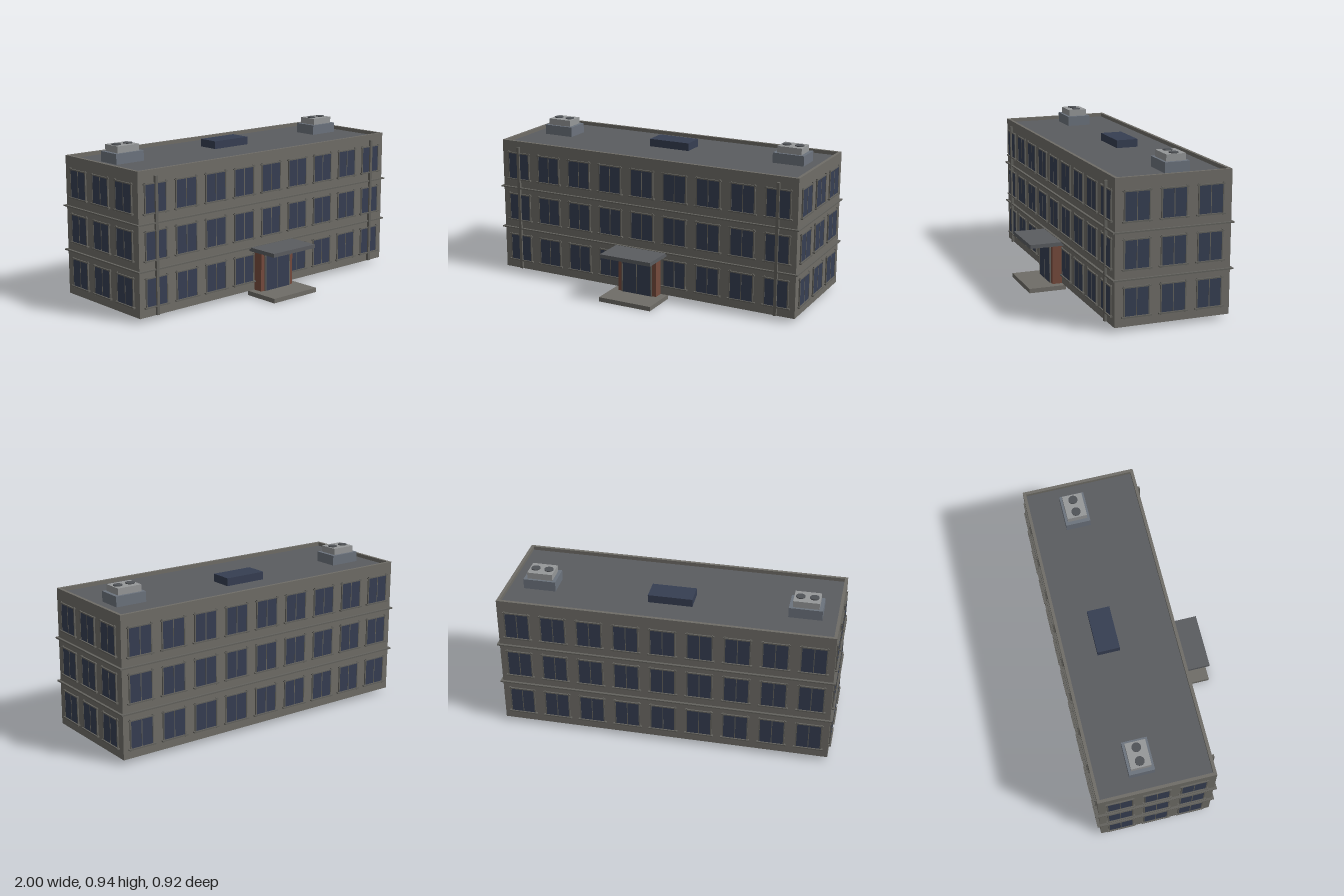
import * as THREE from 'three';

const mat = (color) => new THREE.MeshStandardMaterial({ color });
const M = {
  wall: mat(0x6f6d67), trim: mat(0x63625d), roof: mat(0x5a5c60), glass: mat(0x363e52),
  brick: mat(0x754a3c), unit: mat(0x969899), unitBase: mat(0x6c737d), fan: mat(0x505357),
};

// Box given by its min and max corners
function box(parent, name, material, [x0, y0, z0], [x1, y1, z1]) {
  const mesh = new THREE.Mesh(new THREE.BoxGeometry(x1 - x0, y1 - y0, z1 - z0), material);
  mesh.position.set((x0 + x1) / 2, (y0 + y1) / 2, (z0 + z1) / 2);
  mesh.name = name;
  parent.add(mesh);
  return mesh;
}

// Rectangular ring in plan, standing from y0 to y1
function ring(parent, name, material, hw, hd, t, y0, y1) {
  const rect = (p, w, d) => p.moveTo(-w, -d).lineTo(w, -d).lineTo(w, d).lineTo(-w, d).closePath();
  const shape = rect(new THREE.Shape(), hw, hd);
  shape.holes.push(rect(new THREE.Path(), hw - t, hd - t));
  const geo = new THREE.ExtrudeGeometry(shape, { depth: y1 - y0, bevelEnabled: false });
  geo.rotateX(-Math.PI / 2);
  const mesh = new THREE.Mesh(geo, material);
  mesh.position.set(0, y0, CZ);
  mesh.name = name;
  parent.add(mesh);
}

const HW = 0.985, HD = 0.3425, CZ = -0.1025, BASE = 0.027, TOP = 0.855;
const FLOORS = [0.165, 0.431, 0.696];

// Two-pane window with overlapping frame bars; the wall is at local z = 0
function makeWindow() {
  const g = new THREE.Group();
  g.name = 'window';
  for (const s of [-1, 1]) {
    box(g, 'pane', M.glass, [s * 0.036 - 0.0335, -0.081, -0.004], [s * 0.036 + 0.0335, 0.081, 0.006]);
    box(g, 'frameSide', M.trim, [s * 0.073 - 0.0035, -0.092, -0.004], [s * 0.073 + 0.0035, 0.092, 0.008]);
  }
  box(g, 'mullion', M.trim, [-0.0025, -0.081, -0.004], [0.0025, 0.081, 0.007]);
  box(g, 'lintel', M.trim, [-0.083, 0.08, -0.004], [0.083, 0.087, 0.009]);
  box(g, 'sill', M.trim, [-0.087, -0.087, -0.004], [0.087, -0.079, 0.014]);
  return g;
}

// One side of the building, with a grid of windows
function makeFacade(name, columns, spacing, distance, angle, skipDoor) {
  const g = new THREE.Group();
  g.name = name;
  FLOORS.forEach((y, floor) => {
    for (let i = 0; i < columns; i++) {
      const c = i - (columns - 1) / 2;
      if (skipDoor && floor === 0 && c === 0) continue;
      const w = makeWindow();
      w.position.set(c * spacing, y, distance);
      g.add(w);
    }
  });
  g.position.z = CZ;
  g.rotation.y = angle;
  return g;
}

// Rooftop ventilation unit with two fans
function makeVentUnit(x) {
  const g = new THREE.Group();
  g.name = 'ventUnit';
  box(g, 'unitBase', M.unitBase, [-0.097, 0.83, -0.074], [0.097, 0.894, 0.074]);
  box(g, 'unitBody', M.unit, [-0.076, 0.894, -0.059], [0.076, 0.933, 0.059]);
  for (const s of [-1, 1]) {
    const fan = new THREE.Mesh(new THREE.CylinderGeometry(0.027, 0.027, 0.008, 20), M.fan);
    fan.position.set(s * 0.04, 0.934, 0);
    fan.name = 'fan';
    g.add(fan);
  }
  g.position.set(x, 0, -0.165);
  return g;
}

function makeEntrance() {
  const g = new THREE.Group();
  g.name = 'entrance';
  box(g, 'step', M.wall, [-0.172, 0, 0.23], [0.172, BASE, 0.46]);
  box(g, 'canopy', M.roof, [-0.168, 0.272, 0.235], [0.168, 0.295, 0.45]);
  box(g, 'brickSurround', M.brick, [-0.128, BASE, 0.235], [0.128, 0.272, 0.3]);
  for (const s of [-1, 1]) {
    box(g, 'doorLeaf', M.glass, [s * 0.048 - 0.046, BASE, 0.297], [s * 0.048 + 0.046, 0.243, 0.307]);
    box(g, 'doorJamb', M.trim, [s * 0.098 - 0.004, BASE, 0.297], [s * 0.098 + 0.004, 0.254, 0.309]);
  }
  box(g, 'doorMullion', M.trim, [-0.002, BASE, 0.297], [0.002, 0.243, 0.308]);
  box(g, 'doorHead', M.trim, [-0.106, 0.242, 0.297], [0.106, 0.248, 0.309]);
  g.position.x = -0.003;
  return g;
}

export function createModel() {
  const model = new THREE.Group();
  model.name = 'officeBuilding';

  // Walls with parapet, floor and recessed roof
  ring(model, 'walls', M.wall, HW, HD, 0.018, BASE, TOP);
  box(model, 'floor', M.wall, [-0.97, BASE, CZ - 0.327], [0.97, BASE + 0.02, CZ + 0.327]);
  box(model, 'roof', M.roof, [-0.97, 0.81, CZ - 0.327], [0.97, 0.833, CZ + 0.327]);

  // Bands between the storeys
  for (const y of [0.293, 0.557]) ring(model, 'storeyBand', M.trim, 0.999, 0.357, 0.02, y - 0.004, y + 0.004);

  // Windows on all four sides
  model.add(
    makeFacade('frontWindows', 9, 0.217, HD, 0, true),
    makeFacade('backWindows', 9, 0.217, HD, Math.PI, false),
    makeFacade('leftWindows', 3, 0.216, HW, Math.PI / 2, false),
    makeFacade('rightWindows', 3, 0.216, HW, -Math.PI / 2, false),
  );

  // Drainpipes and rooftop units
  for (const s of [-1, 1]) {
    box(model, 'drainpipe', M.trim, [s * 0.867 - 0.009, 0.03, 0.236], [s * 0.867 + 0.009, 0.82, 0.256]);
    model.add(makeVentUnit(s * 0.785));
  }
  box(model, 'skylight', M.glass, [-0.133, 0.83, -0.243], [0.13, 0.88, -0.11]);

  model.add(makeEntrance());
  return model;
}
